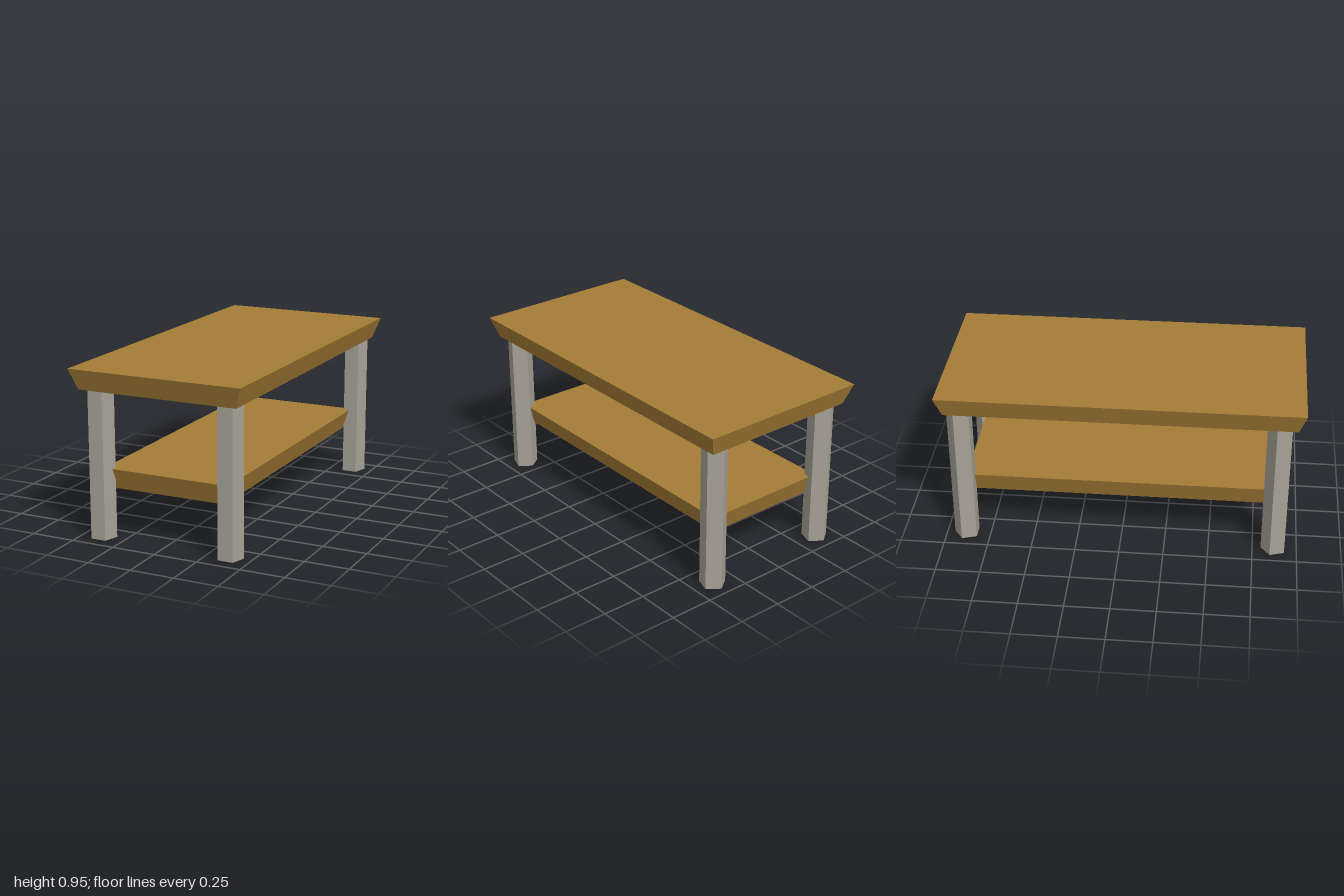
import * as THREE from 'three';

// Rectangular slab whose underside is inset on all four sides
function taperedSlab(width, height, depth, inset) {
  const geometry = new THREE.BoxGeometry(width, height, depth);
  const p = geometry.attributes.position;
  for (let i = 0; i < p.count; i++) {
    if (p.getY(i) < 0) {
      p.setX(i, p.getX(i) - Math.sign(p.getX(i)) * inset);
      p.setZ(i, p.getZ(i) - Math.sign(p.getZ(i)) * inset);
    }
  }
  geometry.computeVertexNormals();
  return geometry;
}

export function createModel() {
  const wood = new THREE.MeshStandardMaterial({ color: 0xa57c36, flatShading: true });
  wood.name = 'wood';
  const stone = new THREE.MeshStandardMaterial({ color: 0xa7a297, flatShading: true });
  stone.name = 'greyLeg';

  const table = new THREE.Group();
  table.name = 'table';

  const add = (name, geometry, material, x, y, z) => {
    const mesh = new THREE.Mesh(geometry, material);
    mesh.name = name;
    mesh.position.set(x, y, z);
    table.add(mesh);
  };

  // Table top and lower shelf
  const thickness = 0.117;
  add('tableTop', taperedSlab(1, thickness, 2, 0.04), wood, 0, 0.95 - thickness / 2, 0);
  add('shelf', taperedSlab(0.74, thickness, 1.74, 0.04), wood, 0, 0.39 - thickness / 2, 0);

  // Five-sided legs, all with a flat side to the front
  const legHeight = 0.835;
  const legGeometry = new THREE.CylinderGeometry(0.0735, 0.0735, legHeight, 5);
  legGeometry.rotateY(Math.PI);
  for (const [end, z] of [['front', 0.871], ['back', -0.884]]) {
    for (const [side, x] of [['Left', 0.381], ['Right', -0.381]]) {
      add(`${end}${side}Leg`, legGeometry, stone, x, legHeight / 2, z);
    }
  }

  return table;
}
